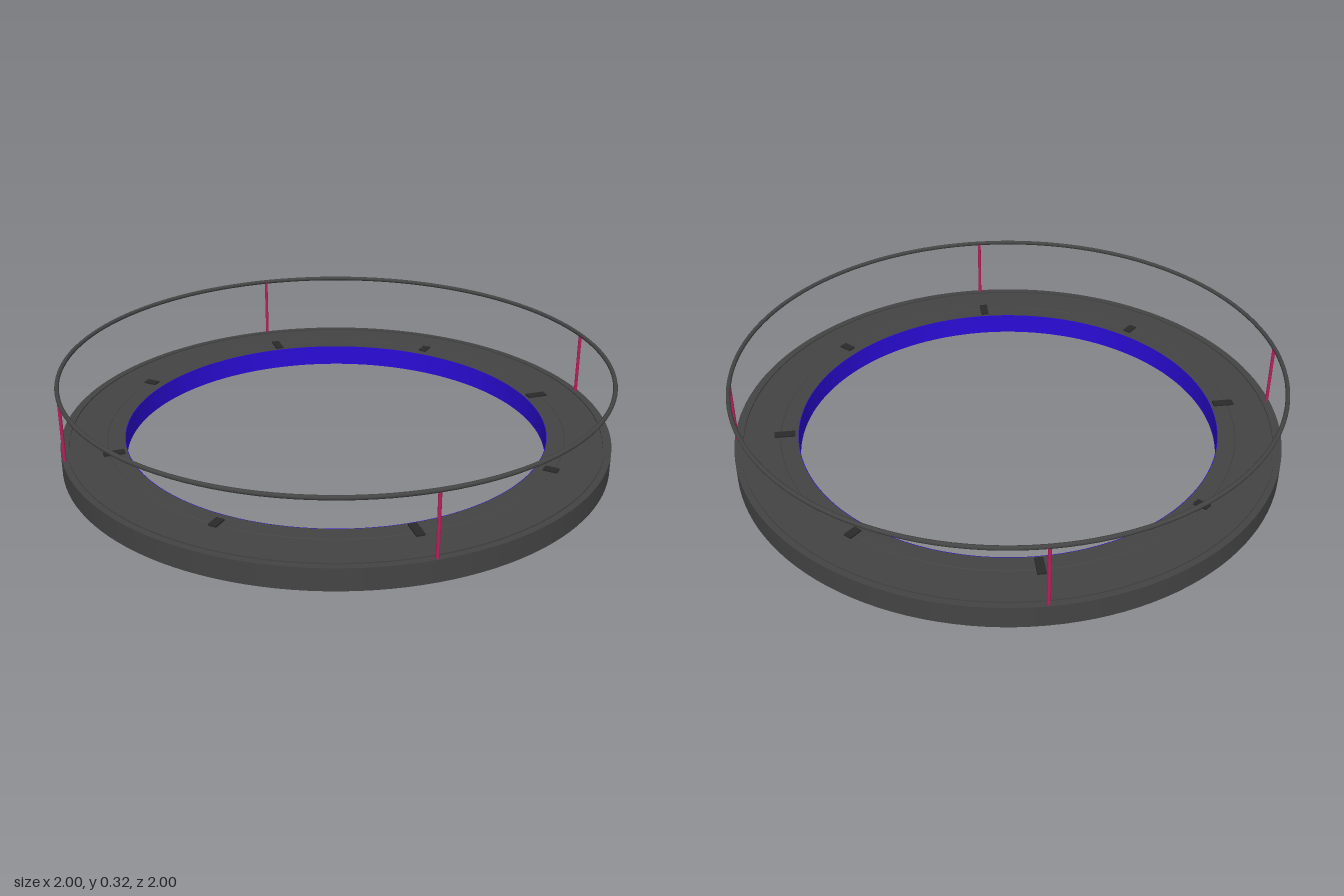
import * as THREE from 'three';

const SEGMENTS = 128;

// Lathe with hard edges: each profile segment becomes its own band.
function lathe(points) {
  const profile = points.map(([r, y]) => new THREE.Vector2(r, y));
  return profile.slice(1).map((p, i) => new THREE.LatheGeometry([profile[i], p], SEGMENTS));
}

export function createModel() {
  const model = new THREE.Group();
  const dark = new THREE.MeshStandardMaterial({ color: 0x444444 });
  const black = new THREE.MeshStandardMaterial({ color: 0x2a2a2a });
  const blue = new THREE.MeshStandardMaterial({ color: 0x2a0cd8 });
  const red = new THREE.MeshStandardMaterial({ color: 0xb81f5c });

  function add(parent, geometry, material, name) {
    const mesh = new THREE.Mesh(geometry, material);
    mesh.name = name;
    parent.add(mesh);
    return mesh;
  }

  // Annular platform: underside, outer wall, then deck with a fine raised bead and seam
  const platform = new THREE.Group();
  platform.name = 'platform';
  model.add(platform);
  const section = [
    [0.77, 0], [0.998, 0], [0.998, 0.08], [0.976, 0.08], [0.976, 0.085], [0.966, 0.085],
    [0.966, 0.08], [0.834, 0.08], [0.832, 0.078], [0.83, 0.08], [0.77, 0.08],
  ];
  lathe(section).forEach((g) => add(platform, g, dark, 'platformSurface'));

  // Coloured lining of the central opening, facing the axis
  lathe([[0.77, 0.08], [0.768, 0.08], [0.768, 0], [0.77, 0]])
    .forEach((g) => add(platform, g, blue, 'innerLining'));

  // Eight small deck cleats, longer at the four main directions
  for (let i = 0; i < 8; i++) {
    const length = i % 2 ? 0.05 : 0.075;
    const pivot = new THREE.Group();
    pivot.name = 'deckCleat';
    pivot.rotation.y = (i * Math.PI) / 4;
    model.add(pivot);
    add(pivot, new THREE.BoxGeometry(length, 0.012, 0.03), black, 'cleatBlock')
      .position.set(i % 2 ? 0.825 : 0.818, 0.08, 0);
  }

  // Four slim posts
  for (let i = 0; i < 4; i++) {
    const a = (i * Math.PI) / 2;
    add(model, new THREE.CylinderGeometry(0.006, 0.006, 0.232, 12), red, 'railPost')
      .position.set(0.989 * Math.cos(a), 0.194, 0.989 * Math.sin(a));
  }

  // Round handrail
  const rail = add(model, new THREE.TorusGeometry(0.99, 0.008, 10, SEGMENTS), dark, 'handrail');
  rail.rotation.x = Math.PI / 2;
  rail.position.y = 0.312;

  return model;
}
